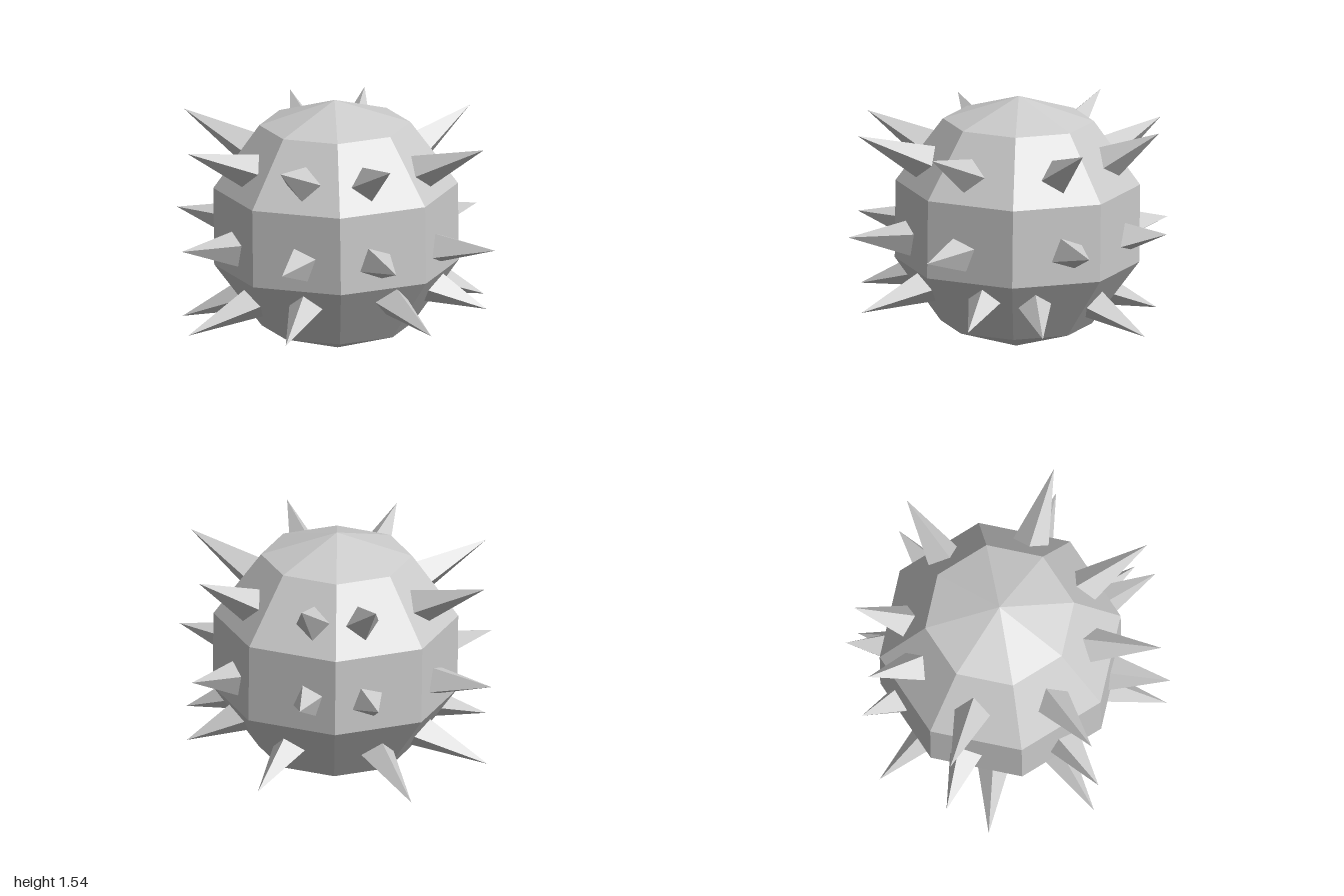
import * as THREE from 'three';

export function createModel() {
  const group = new THREE.Group();
  const material = new THREE.MeshStandardMaterial({ color: 0xcccccc, flatShading: true });
  const centreZ = -0.045;

  // Faceted body, slightly turned and tilted
  const body = new THREE.Mesh(new THREE.SphereGeometry(0.77, 8, 5), material);
  body.name = 'body';
  body.position.set(0, 0.77, centreZ);
  body.rotation.set(-0.01, THREE.MathUtils.degToRad(8), 0.013);
  group.add(body);

  // Four-sided spikes in three rings: each tip is [x, y, z];
  // the root sits under the body's skin, below or above the tip's height
  const rings = [
    {
      name: 'upperSpike', spin: 0.08, rootY: () => 1.155, rootR: () => 0.54,
      tips: [
        [0.925, 1.36, 0.31], [0.42, 1.36, 0.85], [-0.235, 1.35, 0.91], [-0.84, 1.33, 0.47],
        [-0.95, 1.36, -0.38], [-0.36, 1.36, -0.85], [0.08, 1.37, -0.92], [0.75, 1.38, -0.58],
      ],
    },
    {
      name: 'middleSpike', spin: 0.42, rootY: (y) => y - 0.03, rootR: () => 0.65,
      tips: [
        [0.995, 0.74, 0.325], [0.46, 0.74, 0.9], [-0.22, 0.73, 0.965], [-0.87, 0.73, 0.51],
        [-0.995, 0.74, -0.405], [-0.38, 0.74, -0.89], [0.085, 0.75, -0.97], [0.785, 0.755, -0.625],
      ],
    },
    {
      name: 'lowerSpike', spin: 0, rootY: (y) => 0.23 + 0.68 * y, rootR: (y) => 0.25 + 0.73 * y,
      tips: [
        [0.92, 0.305, 0.09], [0.66, 0.33, 0.785], [-0.2, 0.29, 0.945], [-0.835, 0.2, 0.485],
        [-0.935, 0.135, -0.15], [-0.565, 0.125, -0.79], [0.35, 0.18, -0.885], [0.855, 0.27, -0.355],
      ],
    },
  ];

  for (const { name, spin, rootY, rootR, tips } of rings) {
    tips.forEach(([x, y, z], i) => {
      const tip = new THREE.Vector3(x, y, z);
      const angle = Math.atan2(z - centreZ, x);
      const h = rootY(y);
      const r = rootR(h);
      const root = new THREE.Vector3(r * Math.cos(angle), h, centreZ + r * Math.sin(angle));
      const length = root.distanceTo(tip);

      const geometry = new THREE.ConeGeometry(0.115, length, 4);
      geometry.translate(0, length / 2, 0).rotateX(Math.PI / 2).rotateZ(spin);
      const spike = new THREE.Mesh(geometry, material);
      spike.name = name + (i + 1);
      spike.position.copy(root);
      spike.lookAt(tip);
      group.add(spike);
    });
  }
  return group;
}
